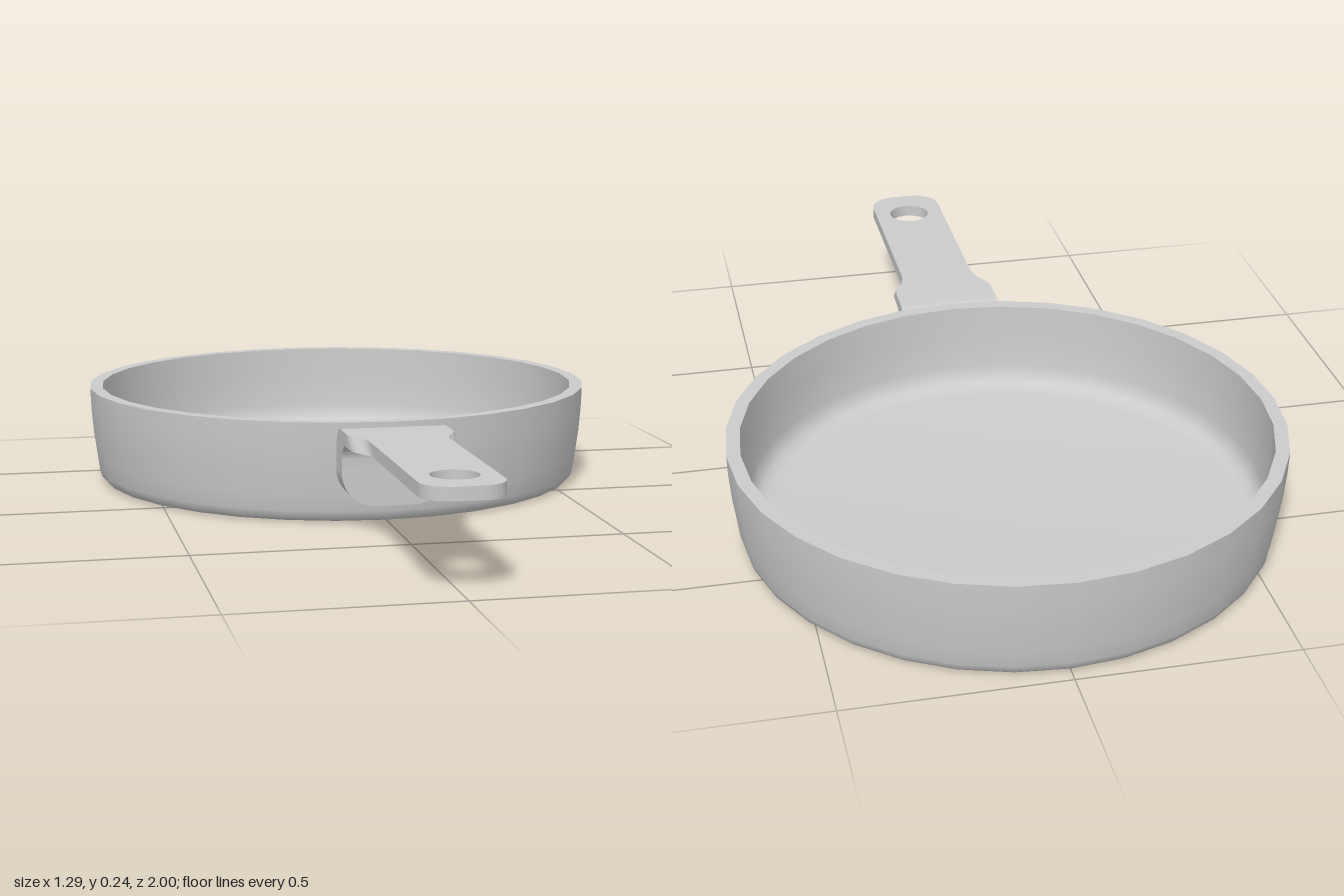
import * as THREE from 'three';
import { toCreasedNormals } from 'three/addons/utils/BufferGeometryUtils.js';

const material = new THREE.MeshStandardMaterial({ color: 0xcccccc });

function part(name, geometry, crease = 0.6) {
  const mesh = new THREE.Mesh(toCreasedNormals(geometry, crease), material);
  mesh.name = name;
  return mesh;
}

function extrude(shape, depth) {
  return new THREE.ExtrudeGeometry(shape, { depth, bevelEnabled: false, curveSegments: 8 });
}

// Pan: one closed profile, outside going up and inside coming down
function makePan() {
  const profile = [
    [0, 0], [0.598, 0], [0.608, 0.003], [0.617, 0.012], [0.622, 0.027],
    [0.628, 0.07], [0.636, 0.13], [0.641, 0.19], [0.643, 0.243],
    [0.611, 0.243], [0.608, 0.16], [0.602, 0.08], [0.597, 0.056],
    [0.585, 0.039], [0.567, 0.03], [0.545, 0.027], [0, 0.027],
  ].map(([r, y]) => new THREE.Vector2(r, y));
  const geometry = new THREE.LatheGeometry(profile, 32);
  geometry.translate(0, 0, -0.357);
  return part('pan', geometry);
}

const WIDE = 0.125, NARROW = 0.092, TOP = 0.235, THICK = 0.03;
const BACK = 0.272, FRONT = 0.335, BEND_END = 0.375;

// Flat arm: wide at the pan, narrowing to a rounded tip with a hanging hole
function makeArm() {
  const r = 0.065;
  const s = new THREE.Shape();
  s.moveTo(-WIDE, BEND_END);
  s.lineTo(WIDE, BEND_END);
  s.bezierCurveTo(WIDE, 0.43, NARROW, 0.43, NARROW, 0.49);
  s.lineTo(NARROW, 1 - r);
  s.absarc(NARROW - r, 1 - r, r, 0, Math.PI / 2, false);
  s.absarc(-NARROW + r, 1 - r, r, Math.PI / 2, Math.PI, false);
  s.lineTo(-NARROW, 0.49);
  s.bezierCurveTo(-NARROW, 0.43, -WIDE, 0.43, -WIDE, BEND_END);
  s.holes.push(new THREE.Path().absarc(0, 0.88, 0.053, 0, Math.PI * 2, true));

  const geometry = extrude(s, THICK).rotateX(Math.PI / 2).translate(0, TOP, 0);
  // The underside narrows a little further out than the top
  const p = geometry.attributes.position;
  for (let i = 0; i < p.count; i++) {
    const z = p.getZ(i);
    if (p.getY(i) < TOP - THICK / 2 && z > BEND_END + 0.001 && z < 0.6) p.setZ(i, z + 0.04);
  }
  return part('handleArm', geometry);
}

// Bend: side profile turning from the arm down to the mounting plate
function makeBend() {
  const s = new THREE.Shape();
  s.moveTo(BACK, 0.135);
  s.lineTo(FRONT, 0.135);
  s.lineTo(FRONT, 0.165);
  s.absarc(BEND_END, 0.165, 0.04, Math.PI, Math.PI / 2, true);
  s.lineTo(BEND_END, TOP);
  s.absarc(BACK + 0.045, TOP - 0.045, 0.045, Math.PI / 2, Math.PI, false);
  s.closePath();
  const geometry = extrude(s, 2 * WIDE).rotateY(-Math.PI / 2).translate(WIDE, 0, 0);
  return part('handleBend', geometry);
}

// Mounting plate: lower end with rounded corners
function makePlate() {
  const r = 0.08, bottom = 0.055;
  const s = new THREE.Shape();
  s.moveTo(-WIDE, bottom + r);
  s.absarc(-WIDE + r, bottom + r, r, Math.PI, Math.PI * 1.5, false);
  s.absarc(WIDE - r, bottom + r, r, Math.PI * 1.5, Math.PI * 2, false);
  s.closePath();
  // The back runs slightly into the tapering pan wall
  return part('mountingPlate', extrude(s, FRONT - BACK + 0.01).translate(0, 0, BACK - 0.01));
}

export function createModel() {
  const model = new THREE.Group();
  model.name = 'fryingPan';
  const handle = new THREE.Group();
  handle.name = 'handle';
  handle.add(makeArm(), makeBend(), makePlate());
  model.add(makePan(), handle);
  return model;
}
